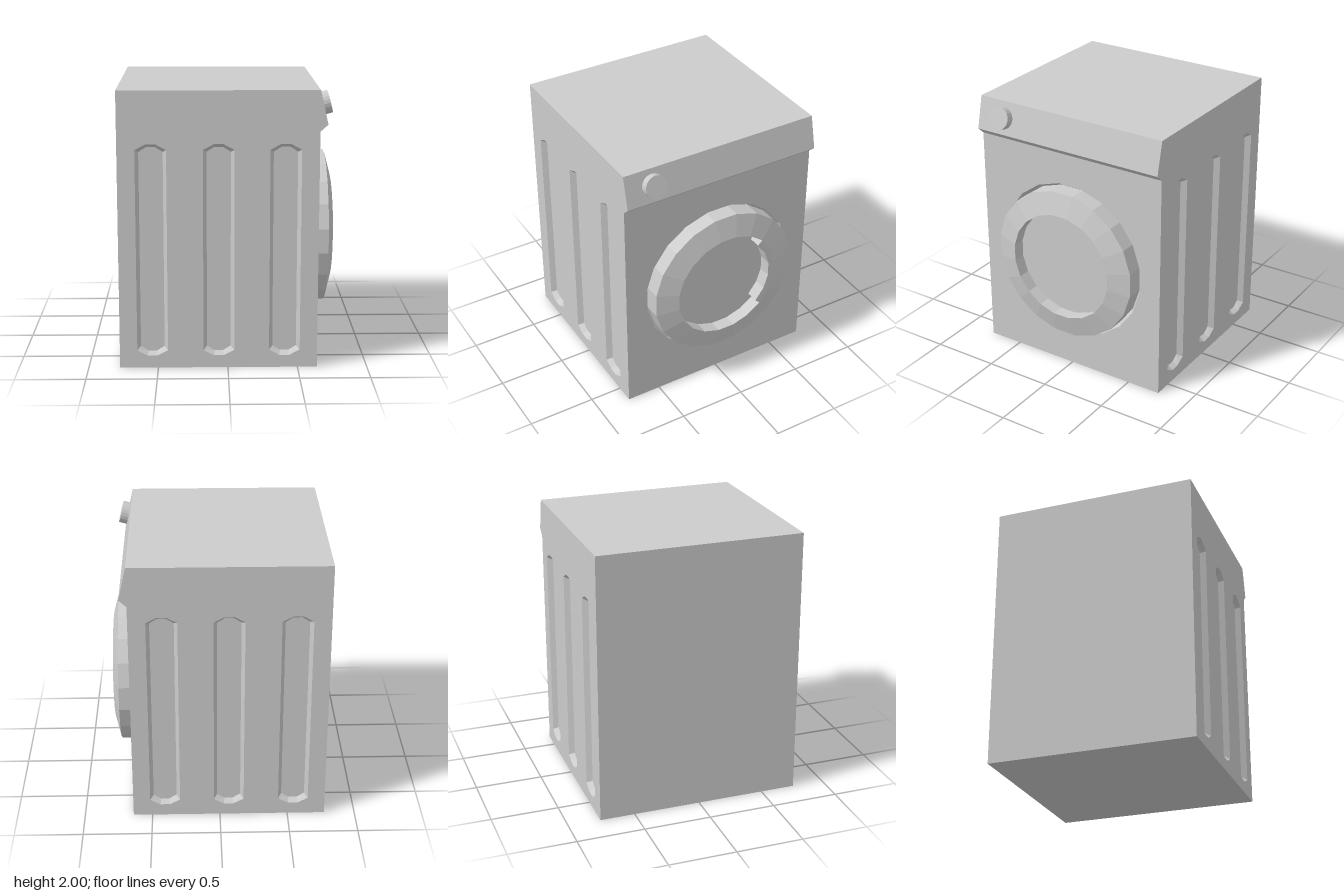
import * as THREE from 'three';

const material = new THREE.MeshStandardMaterial({ color: 0xcccccc, flatShading: true });
const HALF_DEPTH = 0.76, FRONT = 0.64, DOOR_Y = 0.88;

function addMesh(parent, name, geometry) {
  const mesh = new THREE.Mesh(geometry, material);
  mesh.name = name;
  parent.add(mesh);
  return mesh;
}

// Joins matching rings of points with flat quads; optionally closes the last ring.
function loft(rings, { closed = true, cap = false } = {}) {
  const positions = [];
  const tri = (a, b, c) => {
    if (new THREE.Triangle(a, b, c).getArea() < 1e-7) return;
    for (const p of [a, b, c]) positions.push(p.x, p.y, p.z);
  };
  const n = rings[0].length;
  for (let r = 0; r < rings.length - 1; r++) {
    for (let i = 0; i < (closed ? n : n - 1); i++) {
      const j = (i + 1) % n, a = rings[r], b = rings[r + 1];
      tri(a[i], a[j], b[j]);
      tri(a[i], b[j], b[i]);
    }
  }
  if (cap) {
    const last = rings[rings.length - 1];
    const centre = last.reduce((s, p) => s.add(p), new THREE.Vector3()).divideScalar(n);
    last.forEach((p, i) => tri(centre, p, last[(i + 1) % n]));
  }
  const geometry = new THREE.BufferGeometry();
  geometry.setAttribute('position', new THREE.Float32BufferAttribute(positions, 3));
  geometry.computeVertexNormals();
  return geometry;
}

const toShape = pts => new THREE.Shape(pts.map(([x, y]) => new THREE.Vector2(x, y)));
const toPath = pts => new THREE.Path(pts.map(([x, y]) => new THREE.Vector2(x, y)));
const atZ = (pts, z) => pts.map(([x, y]) => new THREE.Vector3(x, y, z));

// Long slot outline with chamfered ends, counter-clockwise.
function slotOutline(cx, halfWidth, halfFlat, bottom, shoulder) {
  const mid = 0.8575, top = 2 * mid - bottom, topShoulder = 2 * mid - shoulder;
  return [
    [cx - halfFlat, bottom], [cx + halfFlat, bottom],
    [cx + halfWidth, shoulder], [cx + halfWidth, topShoulder],
    [cx + halfFlat, top], [cx - halfFlat, top],
    [cx - halfWidth, topShoulder], [cx - halfWidth, shoulder],
  ];
}

// Cabinet profile, open across the lower front where the door panel fits.
const profile = [
  [FRONT, 1.71], [0.695, 1.76], [FRONT, 2], [-0.775, 2], [-0.775, 0], [FRONT, 0],
];

// One side panel with three pressed slots; sign +1 faces +z, -1 faces -z.
function createSide(sign) {
  const side = new THREE.Group();
  side.name = sign > 0 ? 'slottedSideA' : 'slottedSideB';
  const shape = toShape(profile.map(([x, y]) => [x * sign, y]));
  for (const x of [-0.54, -0.065, 0.405]) {
    const outer = slotOutline(x * sign, 0.11, 0.035, 0.09, 0.13);
    const inner = slotOutline(x * sign, 0.085, 0.03, 0.115, 0.15);
    shape.holes.push(toPath(outer));
    addMesh(side, 'slot', loft([atZ(outer, 0), atZ(inner, -0.04)], { cap: true }));
  }
  addMesh(side, 'sidePanel', new THREE.ShapeGeometry(shape));
  side.position.z = sign * HALF_DEPTH;
  side.rotation.y = sign > 0 ? 0 : Math.PI;
  return side;
}

// Twenty-sided door ring; the sector from -45 to 45 degrees may have its own radius.
function doorRing(radius, z, gripRadius = radius) {
  const points = [];
  const add = (k, r) => {
    const a = THREE.MathUtils.degToRad(9 + 18 * k);
    points.push(new THREE.Vector3(r * Math.cos(a), r * Math.sin(a), z));
  };
  for (let k = -3; k <= 2; k++) add(k, gripRadius);
  for (let k = 2; k <= 17; k++) add(k, radius);
  return points;
}

// Front panel and door are made facing +z, then turned to face +x.
function createFront() {
  const front = new THREE.Group();
  front.name = 'doorFront';
  const panel = toShape([
    [-HALF_DEPTH, 0], [HALF_DEPTH, 0], [HALF_DEPTH, 1.71], [-HALF_DEPTH, 1.71],
  ]);
  const hole = [];
  for (let k = 0; k < 20; k++) {
    const a = THREE.MathUtils.degToRad(9 + 18 * k);
    hole.push([0.6 * Math.cos(a), DOOR_Y + 0.6 * Math.sin(a)]);
  }
  panel.holes.push(toPath(hole));
  addMesh(front, 'frontPanel', new THREE.ShapeGeometry(panel));

  // Narrow gap, raised rim, bevel, opening with a grip tab, and sunken window.
  const door = addMesh(front, 'door', loft([
    doorRing(0.6, 0),
    doorRing(0.575, -0.04),
    doorRing(0.575, 0.09),
    doorRing(0.41, 0.135),
    doorRing(0.41, 0.135, 0.36),
    doorRing(0.41, 0.04, 0.36),
  ], { cap: true }));
  door.position.y = DOOR_Y;

  front.rotation.y = Math.PI / 2;
  front.position.x = FRONT;
  return front;
}

export function createModel() {
  const model = new THREE.Group();
  model.name = 'washingMachine';

  // Top, back, base and the slanted control panel
  addMesh(model, 'cabinetShell', loft(
    [atZ(profile, -HALF_DEPTH), atZ(profile, HALF_DEPTH)], { closed: false }));

  model.add(createSide(1), createSide(-1), createFront());

  // Control knob, square to the slanted panel
  const knob = addMesh(model, 'controlKnob', new THREE.CylinderGeometry(0.083, 0.083, 0.06, 20));
  knob.position.set(0.693, 1.888, 0.55);
  knob.rotation.z = -Math.PI / 2 + 0.26;

  return model;
}
